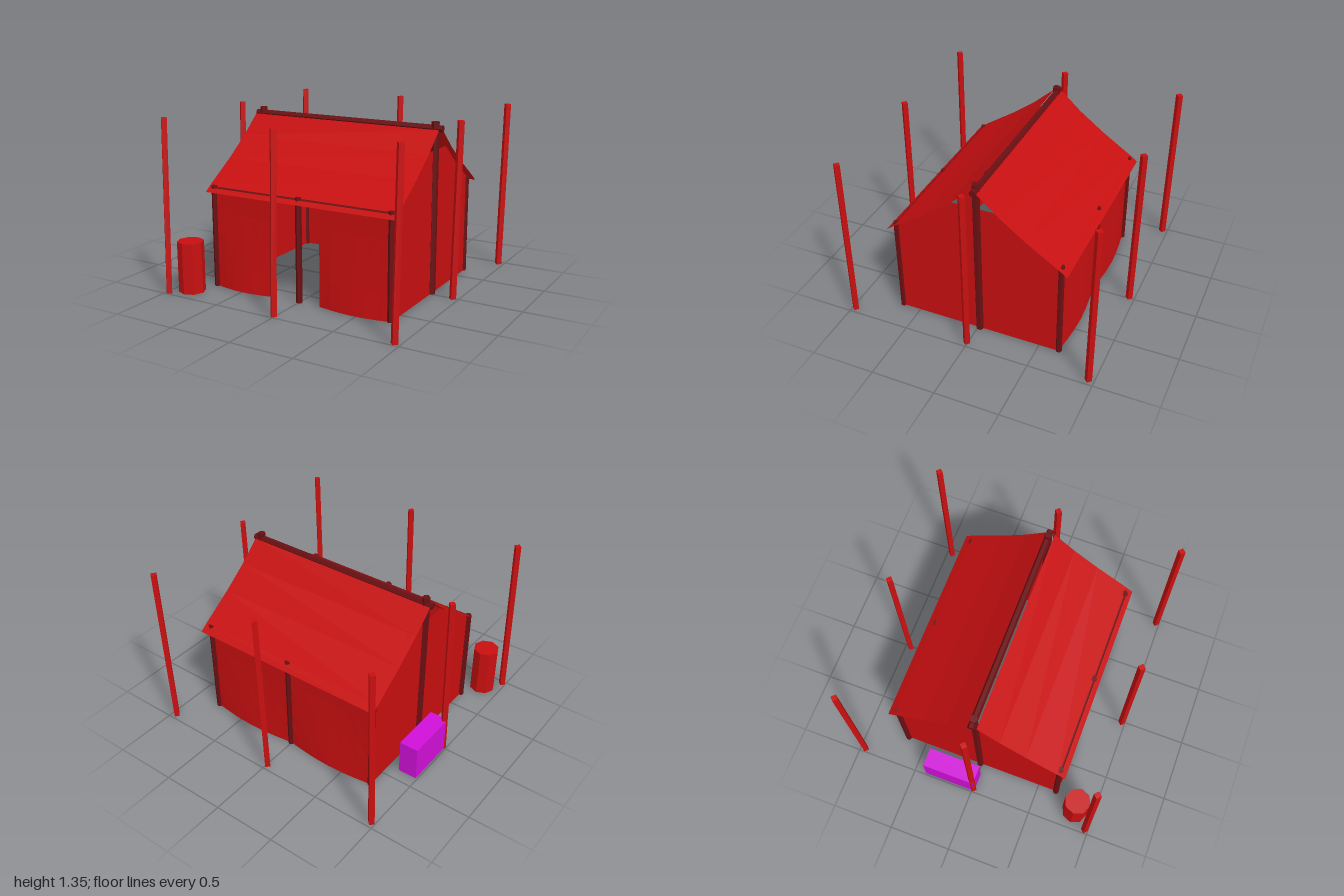
import * as THREE from 'three';

const material = (name, color) => {
  const m = new THREE.MeshStandardMaterial({ color, flatShading: true, side: THREE.DoubleSide });
  m.name = name;
  return m;
};

export function createModel() {
  const red = material('red', 0xc80f10);
  const darkRed = material('dark red', 0x6a0f12);
  const magenta = material('magenta', 0xd010d8);
  const model = new THREE.Group();

  const add = (name, geometry, mat) => {
    const mesh = new THREE.Mesh(geometry, mat);
    mesh.name = name;
    model.add(mesh);
    return mesh;
  };

  // Straight pole between two points
  const pole = (name, from, to, radius, sides, mat) => {
    const a = new THREE.Vector3(...from), b = new THREE.Vector3(...to);
    const mesh = add(name, new THREE.CylinderGeometry(radius, radius, a.distanceTo(b), sides), mat);
    mesh.position.copy(a).add(b).multiplyScalar(0.5);
    mesh.quaternion.setFromUnitVectors(new THREE.Vector3(0, 1, 0), b.sub(a).normalize());
  };

  // Cloth sheet: rule(u, v) gives the point, u and v from 0 to 1
  const cloth = (name, nu, nv, rule) => {
    const g = new THREE.PlaneGeometry(1, 1, nu, nv);
    const p = g.attributes.position;
    for (let i = 0; i < p.count; i++) p.setXYZ(i, ...rule(p.getX(i) + 0.5, p.getY(i) + 0.5));
    g.computeVertexNormals();
    add(name, g, red);
  };

  // Eight leaning posts around the tent
  for (const x of [-0.972, -0.008, 0.956])
    for (const z of [-0.956, 0.008, 0.972])
      if (Math.abs(x) > 0.5 || Math.abs(z) > 0.5)
        pole('outerPost', [x, 0, z], [x + 0.016, 1.35, z - 0.016], 0.028, 4, red);

  // Tent frame
  for (const x of [-0.75, 0.77]) pole('ridgePole', [x, 0, -0.015], [x, 1.325, -0.015], 0.03, 6, darkRed);
  pole('ridgeBeam', [-0.81, 1.275, -0.017], [0.83, 1.275, -0.017], 0.027, 6, darkRed);
  for (const z of [-0.655, 0.65]) {
    for (const x of [-0.755, 0.003, 0.762]) pole('eavePole', [x, 0, z], [x, 0.805, z], 0.024, 6, darkRed);
    pole('eaveBeam', [-0.77, 0.782, z], [0.785, 0.782, z], 0.016, 6, darkRed);
  }

  // Sagging roof slopes, profile from ridge to eave
  const profile = [[0.03, 1.27], [0.2, 1.118], [0.4, 0.968], [0.65, 0.802], [0.71, 0.757]];
  for (const side of [1, -1])
    cloth(side > 0 ? 'frontRoof' : 'backRoof', 1, profile.length - 1, (u, v) => {
      const [d, y] = profile[Math.round((1 - v) * (profile.length - 1))];
      return [-0.8 + 1.615 * u, y, side * d - 0.008];
    });

  // Long walls, bulging outward at the foot
  const wall = (name, x0, x1, z, bulge) => cloth(name, 6, 4, (u, v) => [
    x0 + (x1 - x0) * u, 0.79 * v,
    z + bulge * Math.sin(Math.PI * u) * Math.max(0, 1 - v * 1.4),
  ]);
  wall('frontWallRight', -0.745, -0.22, 0.652, 0.036);
  wall('frontWallLeft', 0.18, 0.768, 0.652, 0.036);
  wall('backWallRight', -0.755, 0.003, -0.655, -0.034);
  wall('backWallLeft', 0.003, 0.768, -0.655, -0.034);

  // Gable walls with a flat top below the ridge
  const gable = new THREE.Shape([
    [-0.655, 0], [0.65, 0], [0.65, 0.79], [0.4, 0.957], [0.2, 1.113],
    [-0.22, 1.113], [-0.41, 0.957], [-0.655, 0.79],
  ].map(([z, y]) => new THREE.Vector2(z, y)));
  for (const x of [-0.752, 0.768]) {
    const mesh = add(x > 0 ? 'leftGable' : 'rightGable', new THREE.ShapeGeometry(gable), red);
    mesh.rotation.y = -Math.PI / 2;
    mesh.position.x = x;
  }

  // Barrel and crate beside the tent
  add('barrel', new THREE.CylinderGeometry(0.102, 0.102, 0.4, 8), red).position.set(-0.85, 0.2, 0.845);
  add('crate', new THREE.BoxGeometry(0.15, 0.28, 0.425), magenta).position.set(-0.913, 0.14, -0.192);

  return model;
}
